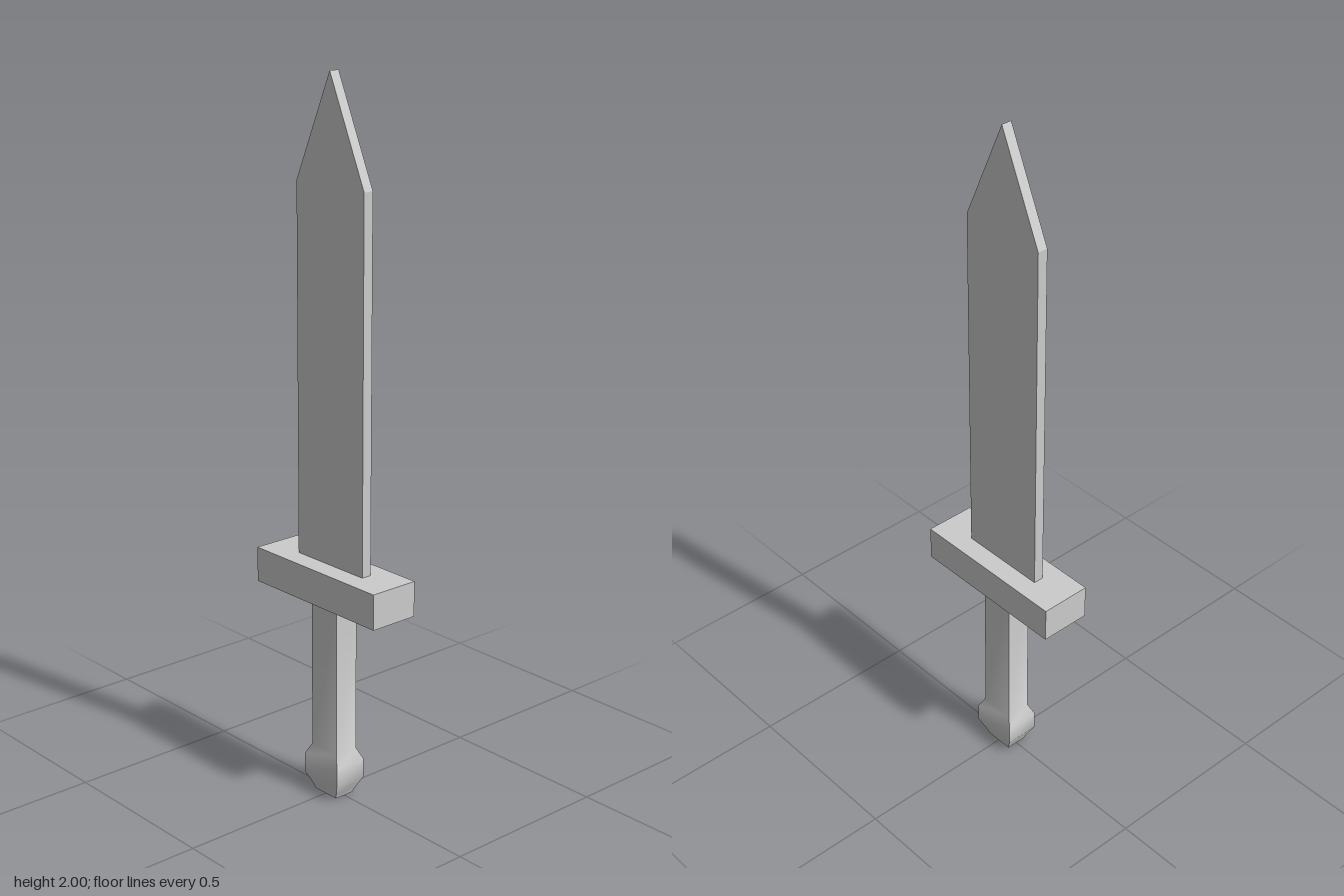
import * as THREE from 'three';
import { toCreasedNormals } from 'three/addons/utils/BufferGeometryUtils.js';

// Closed loft of rectangles, rows listed bottom to top as [y, halfX, halfZ]
function loftRectangles(rows) {
  const corners = [[1, 1], [1, -1], [-1, -1], [-1, 1]];
  const positions = [];
  const index = [];
  for (const [y, hx, hz] of rows) {
    for (const [sx, sz] of corners) positions.push(sx * hx, y, sz * hz);
  }
  for (let i = 0; i < rows.length - 1; i++) {
    for (let j = 0; j < 4; j++) {
      const a = i * 4 + j;
      const b = i * 4 + ((j + 1) % 4);
      index.push(a, b, b + 4, a, b + 4, a + 4);
    }
  }
  const top = (rows.length - 1) * 4;
  index.push(0, 2, 1, 0, 3, 2, top, top + 1, top + 2, top, top + 2, top + 3);
  const geometry = new THREE.BufferGeometry();
  geometry.setAttribute('position', new THREE.Float32BufferAttribute(positions, 3));
  geometry.setIndex(index);
  return toCreasedNormals(geometry, 0.7);
}

export function createModel() {
  const group = new THREE.Group();
  group.name = 'sword';
  const material = new THREE.MeshStandardMaterial({ color: 0xcccccc });
  const add = (name, geometry) => {
    const mesh = new THREE.Mesh(geometry, material);
    mesh.name = name;
    group.add(mesh);
    return mesh;
  };

  // Flat blade with a pointed tip, its wide side facing x
  const outline = new THREE.Shape([
    [-0.13, 0.68], [0.13, 0.68], [0.13, 1.71], [0, 2], [-0.13, 1.71],
  ].map(([z, y]) => new THREE.Vector2(z, y)));
  const blade = new THREE.ExtrudeGeometry(outline, { depth: 0.03, bevelEnabled: false });
  blade.translate(0, 0, -0.015).rotateY(Math.PI / 2);
  add('blade', blade);

  // Crossguard
  add('guard', new THREE.BoxGeometry(0.147, 0.1, 0.476)).position.y = 0.63;

  // Grip swelling into a square pommel
  add('gripAndPommel', loftRectangles([
    [0, 0.031, 0.043],
    [0.012, 0.034, 0.047],
    [0.05, 0.05, 0.068],
    [0.105, 0.05, 0.068],
    [0.138, 0.036, 0.051],
    [0.58, 0.036, 0.051],
  ]));

  return group;
}
